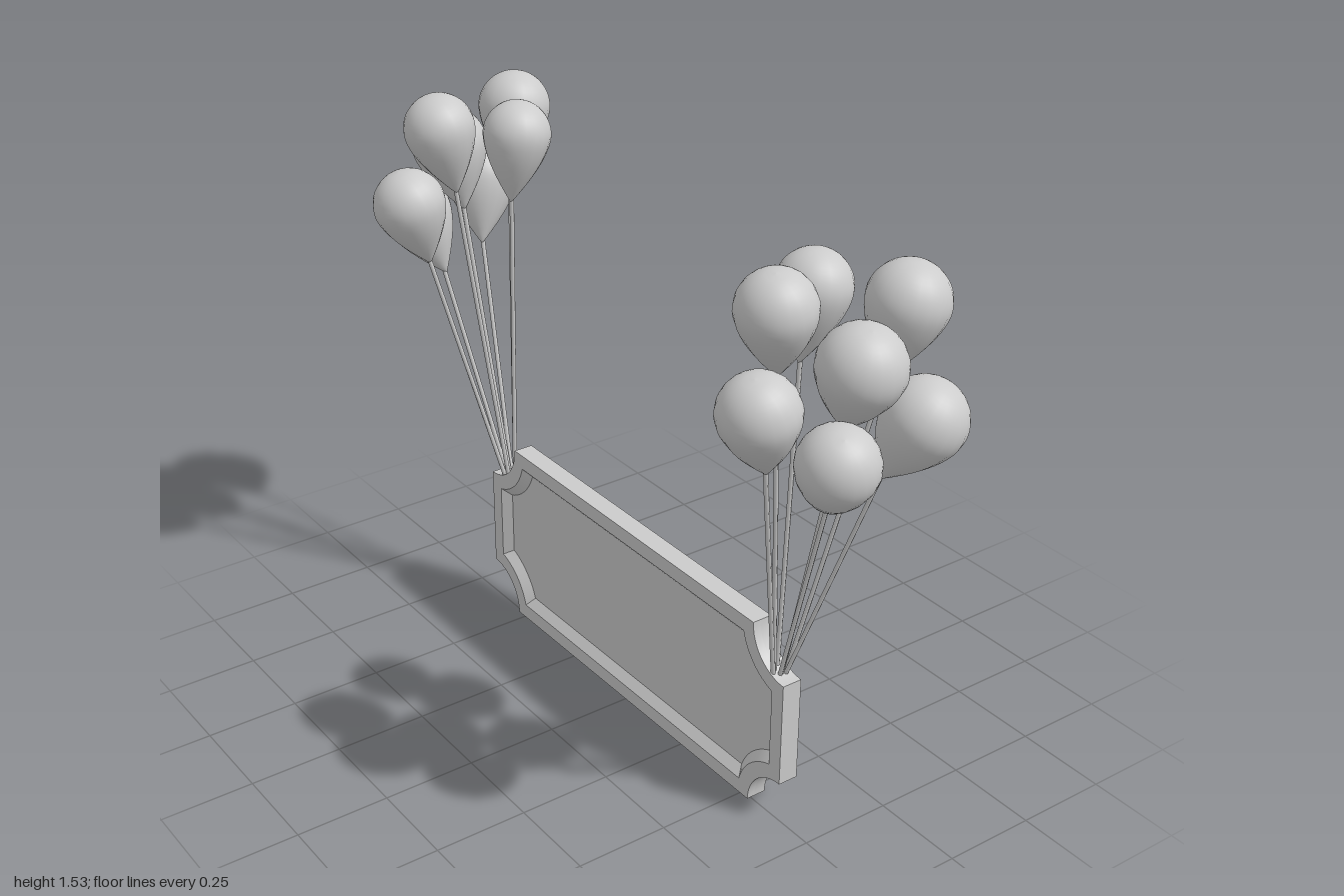
import * as THREE from 'three';
import { toCreasedNormals } from 'three/addons/utils/BufferGeometryUtils.js';

const HALF_L = 0.65, HEIGHT = 0.53, NOTCH = 0.12;
const X_BACK = -0.01, X_PANEL = 0.012, X_FACE = 0.045;
const RIM = 0.042, BEVEL = 0.024;

const grey = new THREE.MeshStandardMaterial({ color: 0xcccccc });
const greyDouble = new THREE.MeshStandardMaterial({ color: 0xcccccc, side: THREE.DoubleSide });

function addMesh(parent, name, geometry, material = grey) {
  const mesh = new THREE.Mesh(geometry, material);
  mesh.name = name;
  parent.add(mesh);
  return mesh;
}

// Ticket outline (rectangle with concave round corners), inset by d
function ticketPoints(d) {
  const r = NOTCH + d, a = Math.asin(d / r), n = 12, pts = [];
  const corners = [[HALF_L, 0], [HALF_L, HEIGHT], [-HALF_L, HEIGHT], [-HALF_L, 0]];
  corners.forEach(([cx, cy], k) => {
    const start = Math.PI - k * -Math.PI / 2 - a, end = start - Math.PI / 2 + 2 * a;
    for (let i = 0; i <= n; i++) {
      const t = start + (end - start) * i / n;
      pts.push(new THREE.Vector2(cx + r * Math.cos(t), cy + r * Math.sin(t)));
    }
  });
  return pts;
}

// Extrude an outline drawn in the z-y plane from x0 to x1
function slab(shape, x0, x1) {
  const g = new THREE.ExtrudeGeometry(shape, { depth: x1 - x0, bevelEnabled: false });
  return toCreasedNormals(g.rotateY(Math.PI / 2).translate(x0, 0, 0), 0.5);
}

// Sloped band joining the rim to the recessed panel
function bevelBand() {
  const outer = ticketPoints(RIM), inner = ticketPoints(RIM + BEVEL), n = outer.length;
  const pos = [], idx = [];
  for (let i = 0; i < n; i++) {
    pos.push(X_BACK, outer[i].y, -outer[i].x, X_PANEL, inner[i].y, -inner[i].x);
    const a = 2 * i, b = 2 * ((i + 1) % n);
    idx.push(a, a + 1, b, b, a + 1, b + 1);
  }
  const g = new THREE.BufferGeometry();
  g.setAttribute('position', new THREE.Float32BufferAttribute(pos, 3));
  g.setIndex(idx);
  g.computeVertexNormals();
  return toCreasedNormals(g, 0.5);
}

function makeBoard() {
  const board = new THREE.Group();
  board.name = 'signBoard';
  addMesh(board, 'panel', slab(new THREE.Shape(ticketPoints(0)), X_PANEL, X_FACE));
  const rim = new THREE.Shape(ticketPoints(0));
  rim.holes.push(new THREE.Path(ticketPoints(RIM)));
  addMesh(board, 'rim', slab(rim, X_BACK, X_PANEL));
  addMesh(board, 'rimBevel', bevelBand(), greyDouble);
  return board;
}

// Teardrop: round crown of radius r, tapering to a tip at distance len below its centre
function balloonGeometry(r, len) {
  const profile = [[0.03, 1], [0.28, 0.82], [0.56, 0.6], [0.8, 0.37], [0.95, 0.16]]
    .map(([x, f]) => new THREE.Vector2(x * r, -f * len));
  for (let i = 0; i <= 6; i++) {
    const t = i / 6 * Math.PI / 2;
    profile.push(new THREE.Vector2(r * Math.cos(t), r * Math.sin(t)));
  }
  const pts = new THREE.SplineCurve(profile).getPoints(22);
  pts[pts.length - 1].x = 0;
  return new THREE.LatheGeometry([new THREE.Vector2(0, -len), ...pts], 20);
}

const UP = new THREE.Vector3(0, 1, 0);

// Crown centre, tip and radius of each balloon in the front bunch
const BALLOONS = [
  { c: [-0.11, 1.44, 0.69], t: [-0.08, 1.265, 0.665], r: 0.094 },
  { c: [0.07, 1.415, 0.6], t: [0.042, 1.235, 0.594], r: 0.09 },
  { c: [0.18, 1.418, 0.785], t: [0.146, 1.24, 0.765], r: 0.097 },
  { c: [0.005, 1.33, 0.84], t: [0.012, 1.16, 0.785], r: 0.103 },
  { c: [-0.185, 1.233, 0.735], t: [-0.142, 1.065, 0.715], r: 0.097 },
  { c: [-0.083, 1.14, 0.88], t: [-0.043, 0.98, 0.805], r: 0.096 },
  { c: [0.14, 1.192, 0.9], t: [0.088, 1.03, 0.825], r: 0.1 },
];

function makeBunch(name, side) {
  const bunch = new THREE.Group();
  bunch.name = name;
  BALLOONS.forEach(({ c, t, r }) => {
    const centre = new THREE.Vector3(c[0], c[1], c[2] * side);
    const tip = new THREE.Vector3(t[0], t[1], t[2] * side);
    const axis = centre.clone().sub(tip);
    const balloon = addMesh(bunch, 'balloon', balloonGeometry(r, axis.length()));
    balloon.position.copy(centre);
    balloon.quaternion.setFromUnitVectors(UP, axis.normalize());

    // String from the corner notch up to the balloon tip
    const foot = new THREE.Vector3(0.018 + t[0] * 0.12, 0.41, side * (0.585 + (t[2] - 0.594) * 0.11));
    const end = tip.clone().addScaledVector(axis, 0.02);
    const line = end.clone().sub(foot);
    const string = addMesh(bunch, 'string', new THREE.CylinderGeometry(0.006, 0.006, line.length(), 6));
    string.position.copy(foot).addScaledVector(line, 0.5);
    string.quaternion.setFromUnitVectors(UP, line.normalize());
  });
  return bunch;
}

export function createModel() {
  const model = new THREE.Group();
  model.name = 'balloonSign';
  model.add(makeBoard(), makeBunch('frontBalloons', 1), makeBunch('backBalloons', -1));
  return model;
}
